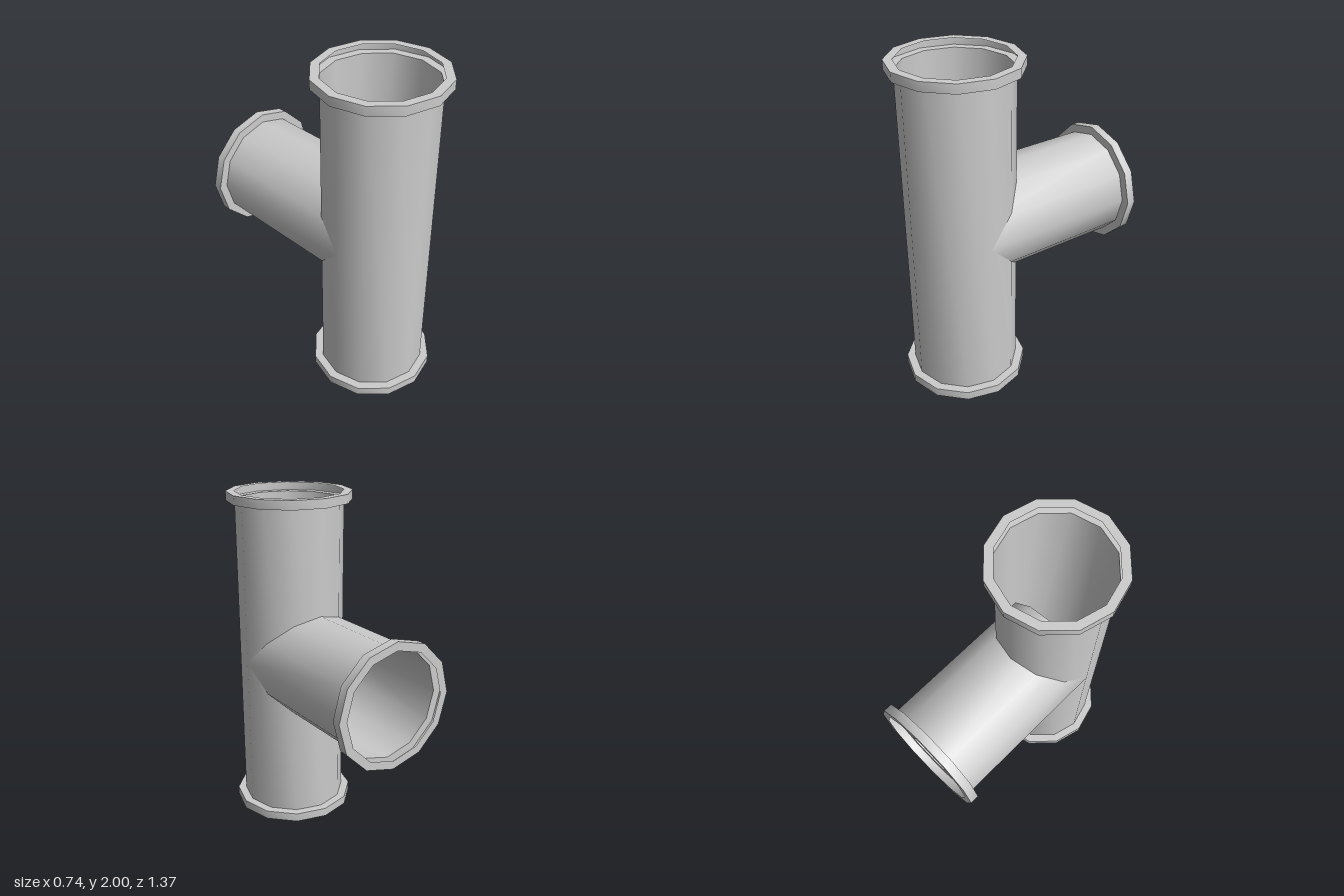
import * as THREE from 'three';
import { toCreasedNormals } from 'three/addons/utils/BufferGeometryUtils.js';

const R = 0.318;        // pipe radius
const RIM = 0.368;      // flange radius
const LIP = 0.053;      // flange thickness
const AXIS_Z = 0.317;   // z of the main pipe's axis
const SIDES = 12;

const material = new THREE.MeshStandardMaterial({ color: 0xcccccc, side: THREE.DoubleSide });

// Twelve-sided thin surface turned around y from [radius, height] points
function turned(name, points) {
  const profile = points.map(([r, y]) => new THREE.Vector2(r, y));
  const geometry = toCreasedNormals(new THREE.LatheGeometry(profile, SIDES), 0.7);
  const mesh = new THREE.Mesh(geometry, material);
  mesh.name = name;
  return mesh;
}

const tube = (name, from, to) => turned(name, [[R, from], [R, to]]);

// Hollow collar, open towards the bore
const flange = (name, bottom) => turned(name, [
  [R, bottom], [RIM, bottom], [RIM, bottom + LIP], [R, bottom + LIP],
]);

export function createModel() {
  const model = new THREE.Group();
  model.name = 'teePipe';

  // Upright pipe with a flange at each end
  const main = new THREE.Group();
  main.name = 'mainPipe';
  main.add(
    tube('mainTube', LIP, 2 - LIP),
    flange('bottomFlange', 0),
    flange('topFlange', 2 - LIP),
  );
  main.position.z = AXIS_Z;

  // Side branch running backwards from the main axis
  const length = AXIS_Z + 0.685;
  const branch = new THREE.Group();
  branch.name = 'branchPipe';
  branch.add(
    tube('branchTube', 0, length - LIP),
    flange('branchFlange', length - LIP),
  );
  branch.rotation.x = -Math.PI / 2;
  branch.position.set(0, 1, AXIS_Z);

  model.add(main, branch);
  return model;
}
